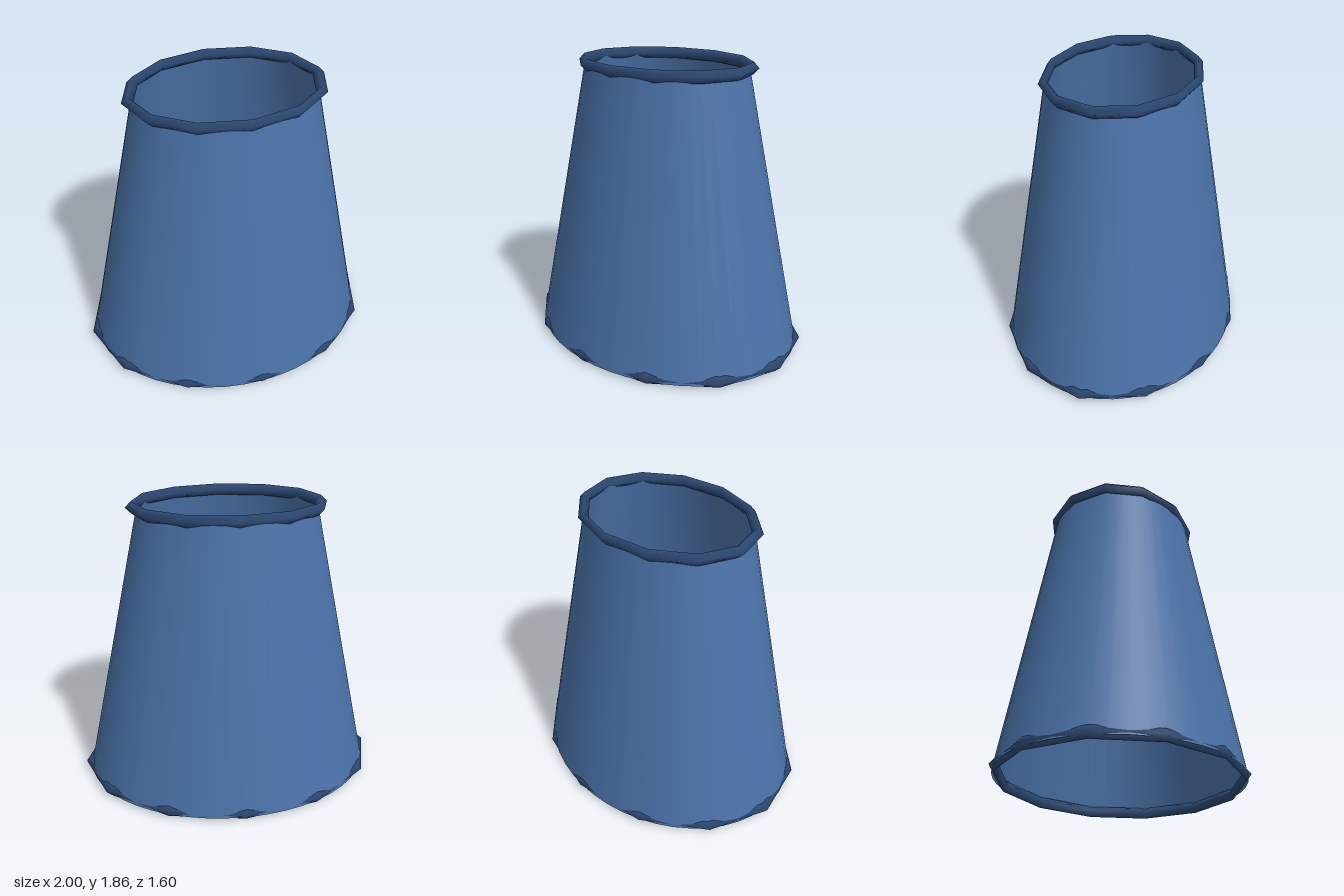
import * as THREE from 'three';

export function createModel() {
  const group = new THREE.Group();
  const cloth = new THREE.MeshStandardMaterial({ color: 0x4a72a8, side: THREE.DoubleSide });
  cloth.name = 'blue cloth';
  const trim = new THREE.MeshStandardMaterial({ color: 0x2d4a75 });
  trim.name = 'dark blue trim';

  const add = (name, geometry, material) => {
    const mesh = new THREE.Mesh(geometry, material);
    mesh.name = name;
    group.add(mesh);
  };

  // Open oval skirt: a tube lofted from the wide hem to the narrow waist
  const hem = { y: 0.02, x: 0.963, z: 0.78 };
  const waist = { y: 1.82, x: 0.572, z: 0.466 };
  const skirt = new THREE.CylinderGeometry(waist.x, hem.x, waist.y - hem.y, 48, 1, true);
  skirt.translate(0, (waist.y + hem.y) / 2, 0);
  const p = skirt.attributes.position;
  for (let i = 0; i < p.count; i++) {
    const end = p.getY(i) > 1 ? waist : hem;
    p.setZ(i, p.getZ(i) * end.z / end.x);
  }
  // Smooth normals, joined across the seam
  skirt.computeVertexNormals();
  const n = skirt.attributes.normal;
  for (const row of [0, 49]) {
    const v = new THREE.Vector3().fromBufferAttribute(n, row)
      .add(new THREE.Vector3().fromBufferAttribute(n, row + 48)).normalize();
    n.setXYZ(row, v.x, v.y, v.z);
    n.setXYZ(row + 48, v.x, v.y, v.z);
  }
  add('skirt', skirt, cloth);

  // Oval bands with a diamond section and twelve sides
  const band = (name, radius, depthRatio, y) => {
    const ring = new THREE.TorusGeometry(radius, 0.038, 4, 12);
    ring.rotateX(Math.PI / 2);
    ring.scale(1, 1, depthRatio);
    ring.translate(0, y, 0);
    add(name, ring, trim);
  };
  band('waistband', 0.603, 0.776, 1.822);
  band('hemBand', 0.962, 0.798, 0.038);

  return group;
}
